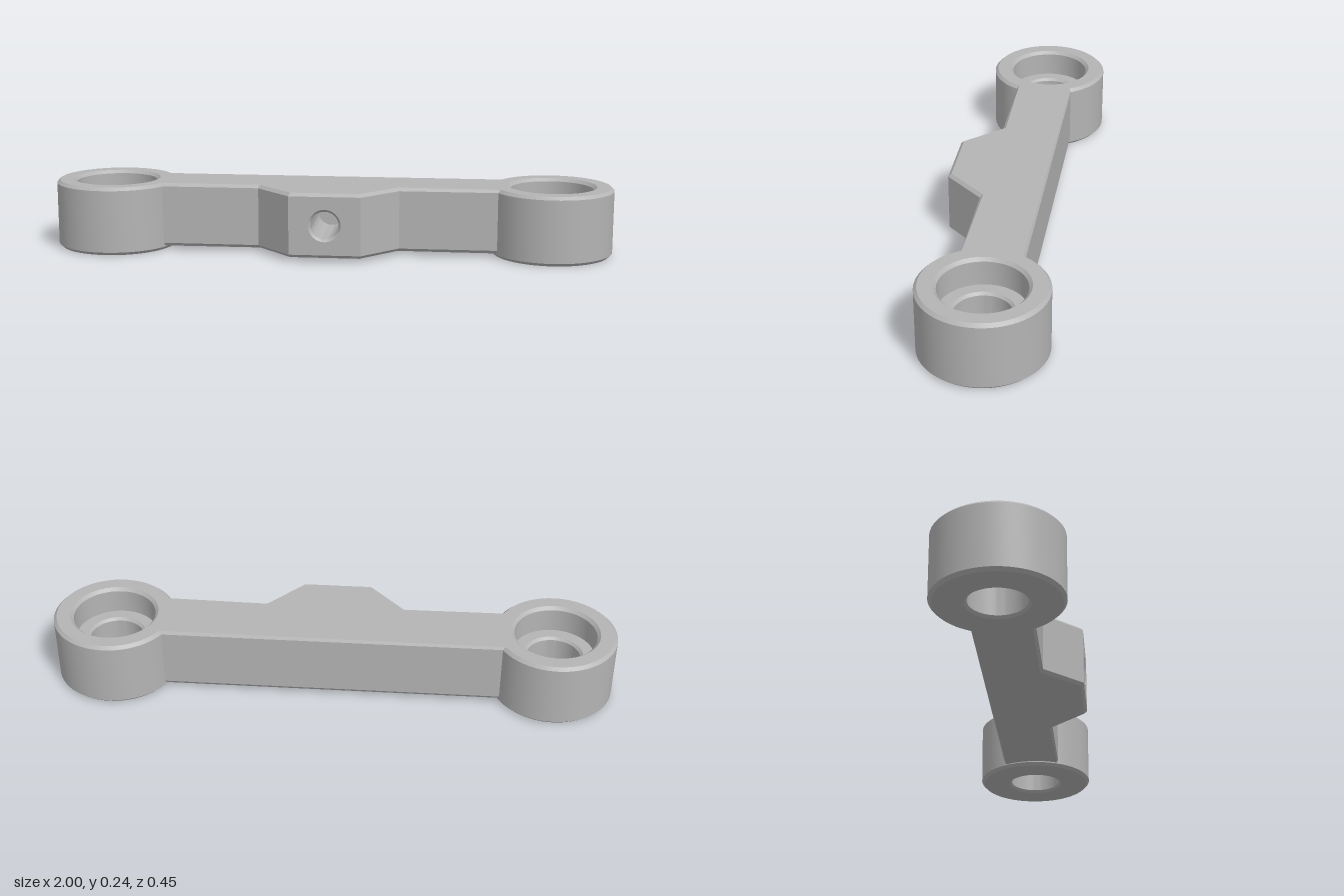
import * as THREE from 'three';
import { toCreasedNormals } from 'three/addons/utils/BufferGeometryUtils.js';

const TOP = 0.243, C = 0.011;            // overall height, chamfer
const EYE_X = 0.784, EYE_Z = -0.01;      // eye centres
const BACK = -0.118, FRONT = 0.093, BOSS = 0.227, BAR_BOTTOM = 0.015;
const HOLE_R = 0.057, HOLE_Y = 0.13;

// Revolve a profile, keeping its corners sharp
const turned = (points) => toCreasedNormals(
  new THREE.LatheGeometry(points.map(([r, y]) => new THREE.Vector2(r, y)), 64), 0.5);

// Chamfered ring with a counterbore and a through hole
function eyeGeometry() {
  const R = 0.216, floor = 0.145;
  return turned([
    [0.104, 0], [R - C, 0], [R, C], [R, TOP - C], [R - C, TOP],
    [0.156, TOP], [0.145, TOP - C], [0.145, floor],
    [0.104, floor], [0.095, floor - 0.009], [0.095, 0.009], [0.104, 0],
  ]);
}

// Bar and boss outline, with concave ends hidden inside the eye walls
function barGeometry() {
  const r = 0.172;
  const a = Math.asin((FRONT - EYE_Z) / r), b = Math.asin((EYE_Z - BACK) / r);
  const s = new THREE.Shape();
  s.absarc(EYE_X, EYE_Z, r, Math.PI + b, Math.PI - a, true);
  s.lineTo(0.25, FRONT);
  s.lineTo(0.125, BOSS);
  s.lineTo(-0.125, BOSS);
  s.lineTo(-0.25, FRONT);
  s.absarc(-EYE_X, EYE_Z, r, a, -b, true);
  s.closePath();
  const g = new THREE.ExtrudeGeometry(s, {
    depth: TOP - BAR_BOTTOM - 2 * C, curveSegments: 10,
    bevelThickness: C, bevelSize: C, bevelOffset: -C, bevelSegments: 1,
  });
  g.rotateX(Math.PI / 2).translate(0, TOP - C, 0);

  // Open the boss face so that a drilled plate can take its place
  const p = g.attributes.position, kept = [];
  for (let i = 0; i < p.count; i += 3) {
    const onFace = [0, 1, 2].every((k) => p.getZ(i + k) > BOSS - 0.001);
    if (!onFace) for (let k = 0; k < 3; k++) kept.push(p.getX(i + k), p.getY(i + k), p.getZ(i + k));
  }
  const open = new THREE.BufferGeometry();
  open.setAttribute('position', new THREE.Float32BufferAttribute(kept, 3));
  open.computeVertexNormals();
  return open;
}

// Flat boss face with a round opening
function bossFaceGeometry() {
  const lo = BAR_BOTTOM + C, hi = TOP - C;
  const s = new THREE.Shape([[-0.125, lo], [0.125, lo], [0.125, hi], [-0.125, hi]]
    .map(([x, y]) => new THREE.Vector2(x, y)));
  s.holes.push(new THREE.Path().absarc(0, HOLE_Y, HOLE_R, 0, Math.PI * 2, true));
  return new THREE.ShapeGeometry(s, 32).translate(0, 0, BOSS);
}

export function createModel() {
  const model = new THREE.Group();
  model.name = 'linkArm';
  const grey = new THREE.MeshStandardMaterial({ color: 0xb4b4b4 });
  grey.name = 'grey';
  const add = (name, geometry) => {
    const mesh = new THREE.Mesh(geometry, grey);
    mesh.name = name;
    model.add(mesh);
    return mesh;
  };

  // Eyes at both ends
  const eye = eyeGeometry();
  add('leftEye', eye).position.set(EYE_X, 0, EYE_Z);
  add('rightEye', eye).position.set(-EYE_X, 0, EYE_Z);

  // Bar with its drilled boss
  add('bar', barGeometry());
  add('bossFace', bossFaceGeometry());
  const hole = turned([[HOLE_R, 0], [0.049, -0.008], [0.049, -0.25], [0, -0.25]]);
  add('bossHole', hole.rotateX(Math.PI / 2)).position.set(0, HOLE_Y, BOSS);

  return model;
}
